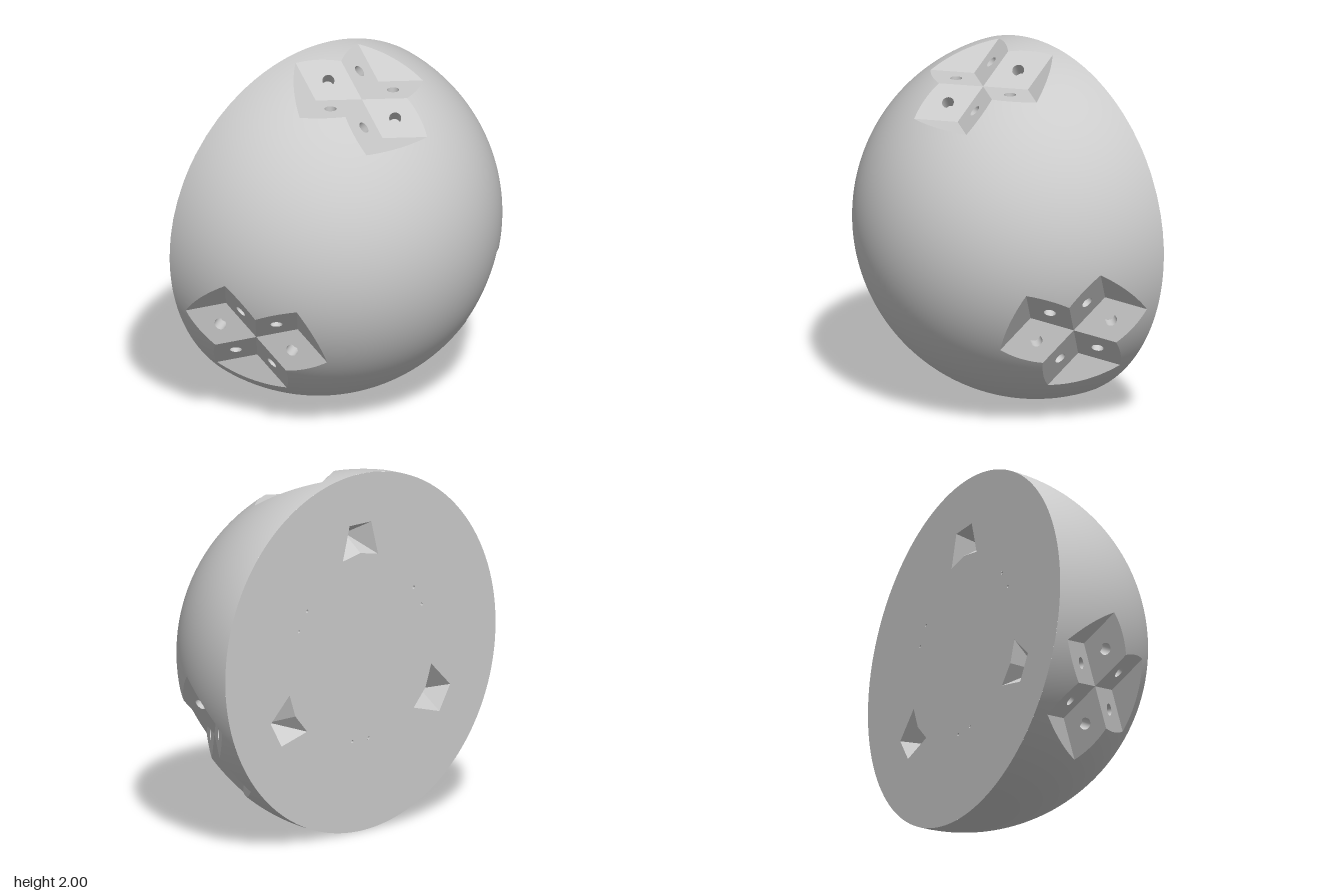
import * as THREE from 'three';

const V = (x, y, z) => new THREE.Vector3(x, y, z);
const material = new THREE.MeshStandardMaterial({ color: 0xcccccc });
const thin = new THREE.MeshStandardMaterial({ color: 0xcccccc, side: THREE.DoubleSide });
const ARC = 16, RINGS = 28, HOLE_R = 0.033, HOLE_DEPTH = 0.1;

// Frame of one notch on the unit dome: n points outward, u and v lie across it.
const n = V(0, 0.9, 0.44).normalize();
const v = V(1, 0, 0);
const u = V(0, n.z, -n.y);
const C = n.clone().multiplyScalar(0.912);
// Six edges leave the notch centre, alternately rising and falling.
const edges = [0, 1, 2, 3, 4, 5].map(k => {
  const a = k * Math.PI / 3;
  return V(0, 0, 0).addScaledVector(u, 0.243 * Math.cos(a)).addScaledVector(v, 0.243 * Math.sin(a))
    .addScaledVector(n, k % 2 ? -0.06 : 0.06);
});

// Point where a ray from inside meets the unit sphere.
function hit(from, dir) {
  const d = dir.clone().normalize();
  const b = from.dot(d);
  return from.clone().addScaledVector(d, -b + Math.sqrt(b * b - from.lengthSq() + 1));
}

// Arc on the sphere from p to q, in the plane through o.
function arc(o, p, q) {
  const pts = [];
  for (let i = 0; i <= ARC; i++) pts.push(hit(o, p.clone().lerp(q, i / ARC).sub(o)));
  return pts;
}

function mesh(name, geometry, mat = material) {
  const m = new THREE.Mesh(geometry, mat);
  m.name = name;
  return m;
}

// Flat facet through 3D points, with an optional round blind hole.
function facet(name, pts, e1, e2, holeCentre) {
  const g = new THREE.Group();
  g.name = name;
  const w = e1.clone().cross(e2).normalize();
  if (w.dot(n) < 0) w.negate();
  const X = e1.clone().normalize();
  const Y = w.clone().cross(X);
  const o = pts[0];
  const flat = p => { const d = p.clone().sub(o); return new THREE.Vector2(d.dot(X), d.dot(Y)); };
  const shape = new THREE.Shape(pts.map(flat));
  if (holeCentre) {
    const c = flat(holeCentre);
    shape.holes.push(new THREE.Path().absarc(c.x, c.y, HOLE_R, 0, Math.PI * 2, true));
    const tube = new THREE.CylinderGeometry(HOLE_R, HOLE_R, HOLE_DEPTH, 24, 1, true);
    tube.rotateX(Math.PI / 2).translate(c.x, c.y, -HOLE_DEPTH / 2);
    const end = new THREE.CircleGeometry(HOLE_R, 24).translate(c.x, c.y, -HOLE_DEPTH);
    g.add(mesh('pinHole', tube, thin), mesh('pinHoleEnd', end));
  }
  g.add(mesh('facetFace', new THREE.ShapeGeometry(shape, 12)));
  g.applyMatrix4(new THREE.Matrix4().makeBasis(X, Y, w).setPosition(o));
  return g;
}

// Third of the dome skin, spread from the notch rim to the sector border.
function skin(rim) {
  const planes = [V(0, 0, 1), V(-0.5, Math.sqrt(0.75), 0), V(0.5, Math.sqrt(0.75), 0)];
  const border = rim.map(p => {
    const t = p.clone().addScaledVector(n, -p.dot(n)).normalize();
    const angle = Math.min(...planes.map(m => Math.atan2(m.dot(n), -m.dot(t))));
    return n.clone().multiplyScalar(Math.cos(angle)).addScaledVector(t, Math.sin(angle));
  });
  for (const corner of [V(0, 0, 1), V(Math.sqrt(0.75), 0.5, 0), V(-Math.sqrt(0.75), 0.5, 0)]) {
    let best = 0;
    border.forEach((p, i) => {
      if (p.distanceTo(corner) < border[best].distanceTo(corner)) best = i;
    });
    border[best] = corner;
  }
  const pos = [], index = [], N = rim.length;
  for (let j = 0; j <= RINGS; j++) {
    for (let i = 0; i < N; i++) {
      const p = rim[i].clone().lerp(border[i], j / RINGS).normalize();
      pos.push(p.x, p.y, p.z);
      if (j === RINGS) continue;
      const a = j * N + i, b = j * N + (i + 1) % N;
      index.push(a, b, a + N, b, b + N, a + N);
    }
  }
  const g = new THREE.BufferGeometry();
  g.setAttribute('position', new THREE.Float32BufferAttribute(pos, 3));
  g.setAttribute('normal', new THREE.Float32BufferAttribute(pos, 3));
  g.setIndex(index);
  return mesh('domeSkin', g);
}

// One third of the dome with its zigzag notch.
function sector() {
  const g = new THREE.Group();
  g.name = 'domeSector';
  const rim = [];
  for (let k = 0; k < 6; k += 2) {
    const h1 = edges[k], lo = edges[k + 1], h2 = edges[(k + 2) % 6];
    const low = C.clone().add(lo);
    const p1 = hit(C, h1), q1 = hit(low, h1), q2 = hit(low, h2), p2 = hit(C, h2);
    const arcs = [arc(low, p1, q1), arc(low, q1, q2), arc(low, q2, p2)];
    const mid = h => C.clone().addScaledVector(lo, 0.5).addScaledVector(h, 0.5);
    g.add(facet('notchFloor', [low, C, ...arcs[0]], lo, h1, mid(h1)));
    g.add(facet('notchWall', [low, ...arcs[1]], h1, h2));
    g.add(facet('notchFloor', [low, ...arcs[2], C], lo, h2, mid(h2)));
    arcs.forEach(a => rim.push(...a.slice(0, -1)));
  }
  g.add(skin(rim));
  return g;
}

// Flat back with three faceted pockets and three pairs of tiny holes.
function back() {
  const g = new THREE.Group();
  g.name = 'flatBack';
  const disc = new THREE.Shape().absarc(0, 0, 1, 0, Math.PI * 2);
  const outline = [[-0.13, 0.53], [-0.08, 0.72], [0.08, 0.72], [0.13, 0.53], [0, 0.556]];
  for (let k = 0; k < 3; k++) {
    const spin = k * Math.PI * 2 / 3, axis = V(0, 0, 1);
    const pts = outline.map(([x, y]) => V(x, y, 0).applyAxisAngle(axis, spin));
    disc.holes.push(new THREE.Path(pts.map(p => new THREE.Vector2(p.x, p.y))));
    const apex = V(0, 0.645, 0.13).applyAxisAngle(axis, spin);
    const tris = pts.flatMap((p, i) => [p, pts[(i + 1) % 5], apex]);
    const pocket = new THREE.BufferGeometry().setFromPoints(tris);
    pocket.computeVertexNormals();
    g.add(mesh('backPocket', pocket, thin));
    for (const s of [-1, 1]) {
      const c = V(s * 0.06, -0.49, 0).applyAxisAngle(axis, spin);
      disc.holes.push(new THREE.Path().absarc(c.x, c.y, 0.009, 0, Math.PI * 2, true));
      const tube = new THREE.CylinderGeometry(0.009, 0.009, 0.08, 12, 1, true);
      g.add(mesh('backPinHole', tube.rotateX(Math.PI / 2).translate(c.x, c.y, 0.04), thin));
    }
  }
  g.add(mesh('backFace', new THREE.ShapeGeometry(disc, 64).rotateY(Math.PI)));
  return g;
}

export function createModel() {
  const root = new THREE.Group();
  root.name = 'notchedDome';
  const dome = new THREE.Group();
  dome.name = 'dome';
  for (let k = 0; k < 3; k++) {
    const s = sector();
    s.rotation.z = k * Math.PI * 2 / 3;
    dome.add(s);
  }
  dome.add(back());
  dome.position.set(0, 1, -0.5);
  root.add(dome);
  return root;
}
